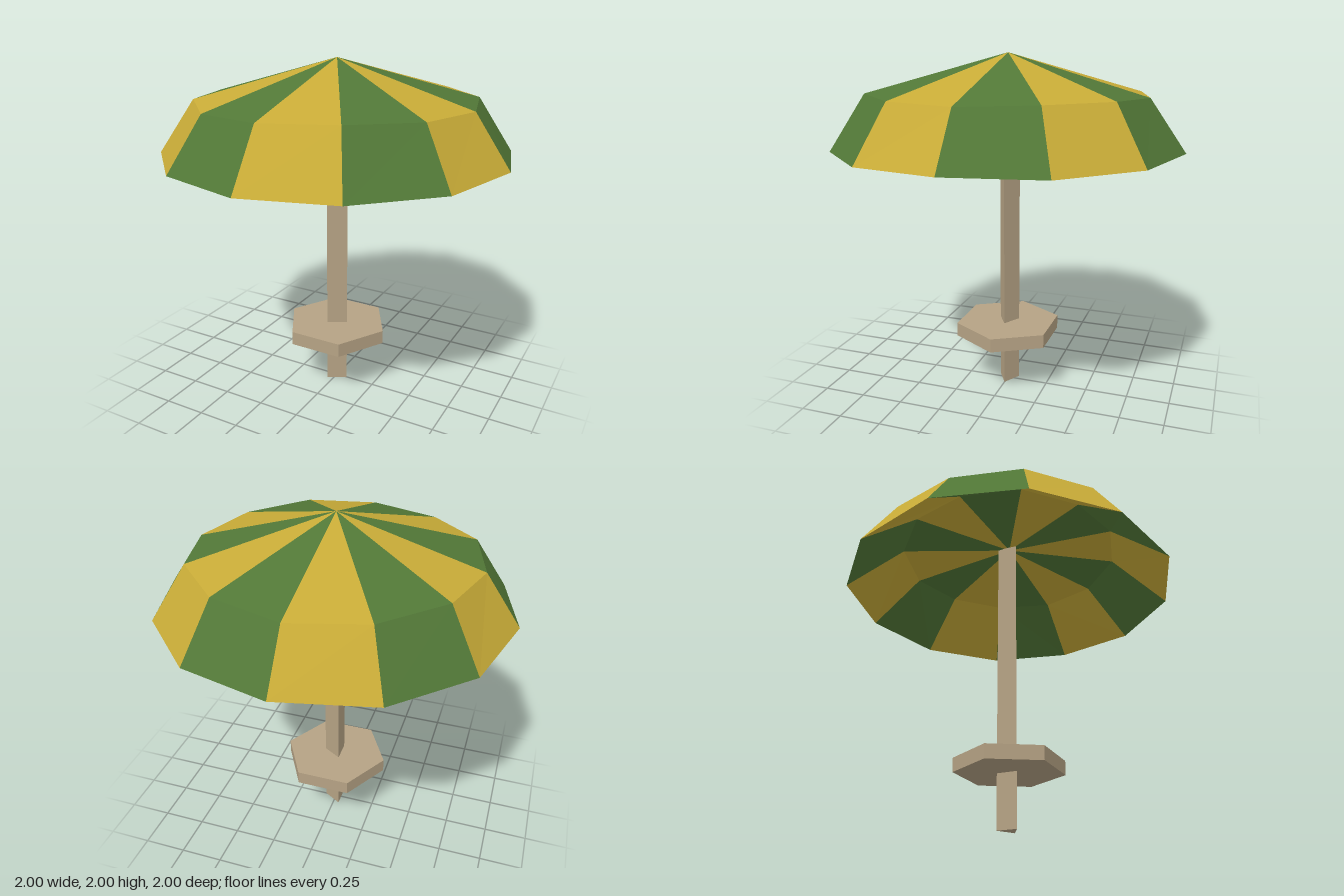
import * as THREE from 'three';

const SIDES = 12;
// Slightly uneven heights of the crease and the rim, one per rib
const CREASE_Y = [1.765, 1.77, 1.78, 1.77, 1.76, 1.77, 1.765, 1.775, 1.77, 1.765, 1.775, 1.775];
const RIM_Y = [1.475, 1.467, 1.467, 1.465, 1.468, 1.472, 1.48, 1.464, 1.465, 1.478, 1.47, 1.468];
const LINING_DROP = 0.035;

function material(name, color) {
  const m = new THREE.MeshStandardMaterial({ color, flatShading: true });
  m.name = name;
  return m;
}

// Every second panel of the canopy, outside and lining, beginning with the given one
function panels(first) {
  const rib = (k, radius, heights, drop = 0) => {
    const a = (k * Math.PI * 2) / SIDES;
    return [radius * Math.cos(a), heights[k % SIDES] - drop, radius * Math.sin(a)];
  };
  const apex = [0, 1.995, 0];
  const liningApex = [0, 1.785, 0];
  const positions = [];
  for (let k = first; k < SIDES; k += 2) {
    const a = rib(k, 0.797, CREASE_Y), b = rib(k + 1, 0.797, CREASE_Y);
    const c = rib(k, 1, RIM_Y), d = rib(k + 1, 1, RIM_Y);
    positions.push(...apex, ...b, ...a, ...a, ...b, ...d, ...a, ...d, ...c);
    const e = rib(k, 0.67, CREASE_Y, LINING_DROP), f = rib(k + 1, 0.67, CREASE_Y, LINING_DROP);
    positions.push(...liningApex, ...e, ...f, ...e, ...d, ...f, ...e, ...c, ...d);
  }
  const geometry = new THREE.BufferGeometry();
  geometry.setAttribute('position', new THREE.Float32BufferAttribute(positions, 3));
  geometry.computeVertexNormals();
  return geometry;
}

// Upright prism with a corner pointing to +x
function prism(radius, bottom, top, sides) {
  const geometry = new THREE.CylinderGeometry(radius, radius, top - bottom, sides, 1, false, Math.PI / 2);
  return geometry.translate(0, (top + bottom) / 2, 0);
}

export function createModel() {
  const model = new THREE.Group();
  model.name = 'parasol';
  const yellow = material('canopy yellow', 0xc8ab37);
  const green = material('canopy green', 0x527837);
  const wood = material('wood', 0xb5a284);

  const add = (parent, name, geometry, mat) => {
    const mesh = new THREE.Mesh(geometry, mat);
    mesh.name = name;
    parent.add(mesh);
  };

  // Striped canopy with a shallow lining
  const canopy = new THREE.Group();
  canopy.name = 'canopy';
  add(canopy, 'yellowPanels', panels(0), yellow);
  add(canopy, 'greenPanels', panels(1), green);
  model.add(canopy);

  // Three-sided pole and six-sided table
  add(model, 'pole', prism(0.07, 0, 1.83, 3), wood);
  add(model, 'table', prism(0.315, 0.313, 0.395, 6), wood);
  return model;
}
